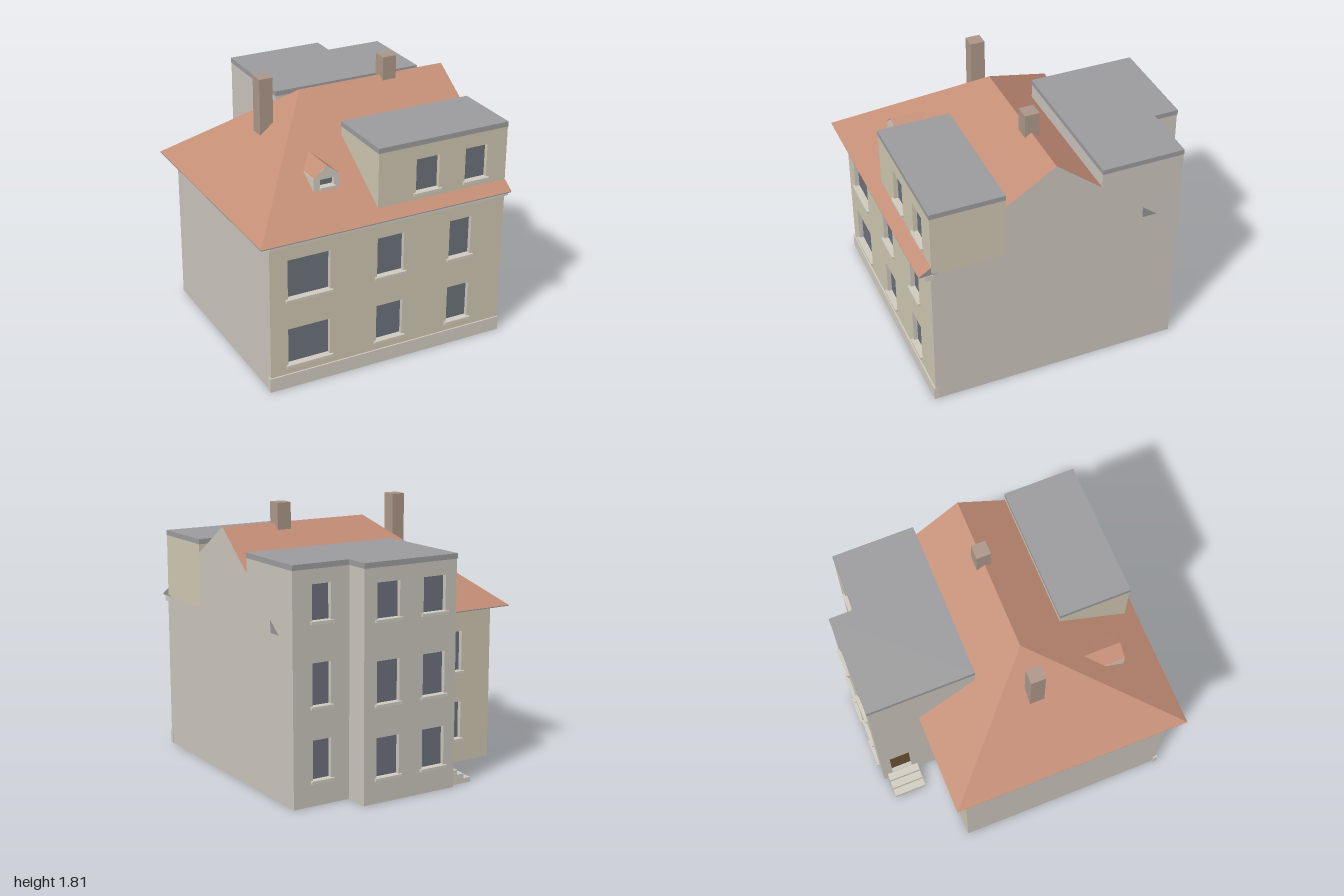
import * as THREE from 'three';

const mat = (color, side = THREE.FrontSide) =>
  new THREE.MeshStandardMaterial({ color, side, flatShading: true });
const M = {
  cream: mat(0xcdc5b0), wall: mat(0xc8c3ba), trim: mat(0xcfcabe), slab: mat(0x9b9b9d),
  tile: mat(0xc48e76, THREE.DoubleSide), soffit: mat(0x949494, THREE.DoubleSide),
  glass: mat(0x6b707a), brick: mat(0xab9688), door: mat(0x6b5236),
};

function add(parent, name, geo, material) {
  const m = new THREE.Mesh(geo, material);
  m.name = name;
  parent.add(m);
  return m;
}

// Box given by its extents
function box(parent, name, x0, x1, y0, y1, z0, z1, material) {
  const g = new THREE.BoxGeometry(x1 - x0, y1 - y0, z1 - z0);
  g.translate((x0 + x1) / 2, (y0 + y1) / 2, (z0 + z1) / 2);
  return add(parent, name, g, material);
}

const shapeOf = pts => new THREE.Shape(pts.map(p => new THREE.Vector2(p[0], p[1])));

// Upright prism over a footprint of [x, z] points
function prism(parent, name, pts, y0, y1, material) {
  const g = new THREE.ExtrudeGeometry(shapeOf(pts.map(([x, z]) => [x, -z])),
    { depth: y1 - y0, bevelEnabled: false });
  g.rotateX(-Math.PI / 2).translate(0, y0, 0);
  return add(parent, name, g, material);
}

// Flat polygons, each a fan of corners
function faces(parent, name, polys, material) {
  const v = [];
  for (const p of polys)
    for (let i = 1; i < p.length - 1; i++) v.push(...p[0], ...p[i], ...p[i + 1]);
  const g = new THREE.BufferGeometry();
  g.setAttribute('position', new THREE.Float32BufferAttribute(v, 3));
  g.computeVertexNormals();
  return add(parent, name, g, material);
}

// Wall with recessed openings [u0, u1, y0, y1]; its outer face is local z = 0
function facade(parent, name, pts, openings, front, sides, opt = {}) {
  const { depth = 0.04, fill = M.glass, fillName = 'windowPane', sill = 0.016 } = opt;
  const group = new THREE.Group();
  group.name = name;
  const shape = shapeOf(pts);
  for (const [a, b, c, d] of openings) {
    shape.holes.push(new THREE.Path([[a, c], [a, d], [b, d], [b, c]].map(p => new THREE.Vector2(...p))));
    const pane = new THREE.PlaneGeometry(b - a, d - c);
    pane.translate((a + b) / 2, (c + d) / 2, -0.03);
    add(group, fillName, pane, fill);
    if (sill) box(group, 'windowSill', a - sill, b + sill, c - 0.015, c + 0.004, -0.03, 0.018, M.trim);
  }
  const g = new THREE.ExtrudeGeometry(shape, { depth, bevelEnabled: false });
  g.translate(0, 0, -depth);
  add(group, name + 'Wall', g, [front, sides]);
  parent.add(group);
  return group;
}

const rect = (a, b, c, d) => [[a, c], [b, c], [b, d], [a, d]];
const FLOORS = [[0.165, 0.43], [0.645, 0.925], [1.185, 1.42]];
// Every column of windows on the chosen floors
const grid = (cols, floors) => floors.flatMap(f => cols.map(c => [...c, ...FLOORS[f]]));

export function createModel() {
  const house = new THREE.Group();
  house.name = 'house';

  // Main body with front and rear facades
  box(house, 'mainBody', -0.82, 0.9, 0, 1.08, -0.52, 0.88, M.wall);
  facade(house, 'frontFacade', rect(-0.82, 0.9, 0, 1.08),
    grid([[-0.695, -0.395], [-0.055, 0.14], [0.485, 0.65]], [0, 1]), M.cream, M.wall).position.z = 0.92;
  const rear = facade(house, 'rearFacade', rect(0.21, 0.82, 0, 1.08),
    grid([[0.39, 0.58]], [0, 1]), M.cream, M.wall);
  rear.rotation.y = Math.PI;
  rear.position.z = -0.56;
  box(house, 'plinth', -0.83, 0.902, 0, 0.1, 0.9, 0.93, M.trim);
  box(house, 'cornice', -0.83, 0.902, 1.04, 1.078, 0.9, 0.96, M.trim);

  // Stepped rear wing
  prism(house, 'wingCore', [[-0.17, -0.24], [0.9, -0.24], [0.9, -0.77], [0.49, -0.77],
    [0.49, -0.94], [-0.17, -0.94]], 0, 1.515, M.wall);
  const wingBacks = [
    ['wingRearFacade', -0.49, 0.21, -0.98, [[-0.395, -0.225], [-0.045, 0.125]]],
    ['wingSetbackFacade', -0.9, -0.49, -0.81, [[-0.76, -0.625]]],
  ];
  for (const [name, a, b, z, cols] of wingBacks) {
    const f = facade(house, name, rect(a, b, 0, 1.515), grid(cols, [0, 1, 2]), M.wall, M.wall);
    f.rotation.y = Math.PI;
    f.position.z = z;
  }
  const side = facade(house, 'wingDoorFacade', rect(-0.94, -0.24, 0, 1.515),
    [[-0.91, -0.76, 0.1, 0.42]], M.wall, M.wall, { fill: M.door, fillName: 'door', sill: 0 });
  side.rotation.y = -Math.PI / 2;
  side.position.x = -0.21;
  prism(house, 'wingRoof', [[-0.213, -0.24], [0.902, -0.24], [0.902, -0.812], [0.492, -0.812],
    [0.492, -0.984], [-0.213, -0.984]], 1.515, 1.55, M.slab);

  // Door steps
  for (let i = 0; i < 3; i++)
    box(house, 'doorStep', -0.37 + i * 0.053, -0.317 + i * 0.053, 0, 0.033 * (i + 1), -0.95, -0.72, M.trim);

  // Half-hipped main roof, its soffit and the gable wall
  const A = [-0.91, 1.085, 1], B = [0.9, 1.085, 1], C = [0.9, 1.085, -0.65], D = [-0.91, 1.085, -0.65];
  const E = [-0.19, 1.675, 0.08], F = [0.9, 1.675, 0.08];
  faces(house, 'mainRoof', [[A, B, F, E], [C, D, E, F], [D, A, E]], M.tile);
  box(house, 'soffit', -0.909, 0.899, 1.078, 1.084, -0.649, 0.999, M.soffit);
  faces(house, 'gableWall', [[[0.9, 1.08, 0.42], [0.9, 1.08, -0.24], [0.9, 1.416, -0.24], F,
    [0.9, 1.457, 0.42]]], M.wall);
  faces(house, 'eaveEnds', [
    [[0.901, 1.085, 1], [0.901, 1.085, 0.915], [0.901, 1.139, 0.915]],
    [[0.901, 1.085, -0.54], [0.901, 1.085, -0.645], [0.901, 1.167, -0.54]],
  ], M.soffit);

  // Wide flat-roofed front dormer
  box(house, 'dormerBody', -0.055, 0.9, 1.08, 1.515, 0.42, 0.875, M.cream);
  facade(house, 'dormerFacade', rect(-0.055, 0.9, 1.09, 1.515),
    grid([[0.22, 0.39], [0.585, 0.75]], [2]), M.cream, M.cream).position.z = 0.915;
  box(house, 'dormerRoof', -0.058, 0.902, 1.515, 1.55, 0.417, 0.918, M.slab);

  // Small gabled dormer
  const l = -0.42, r = -0.235, m = (l + r) / 2;
  facade(house, 'smallDormer', [[l, 1.25], [r, 1.25], [r, 1.343], [m, 1.418], [l, 1.343]],
    [[-0.375, -0.275, 1.275, 1.33]], M.trim, M.trim, { depth: 0.25, sill: 0.004 }).position.z = 0.735;
  faces(house, 'smallDormerRoof', [r, l].map(x => {
    const p = [[x, 1.346, 0.595], [m, 1.421, 0.478], [m, 1.421, 0.737], [x, 1.346, 0.737]];
    return x === r ? p : p.reverse();
  }), M.tile);

  // Chimneys
  box(house, 'leftChimney', -0.5, -0.405, 1.3, 1.81, 0.025, 0.125, M.brick);
  box(house, 'rightChimney', 0.415, 0.515, 1.5, 1.81, 0.025, 0.125, M.brick);

  return house;
}
